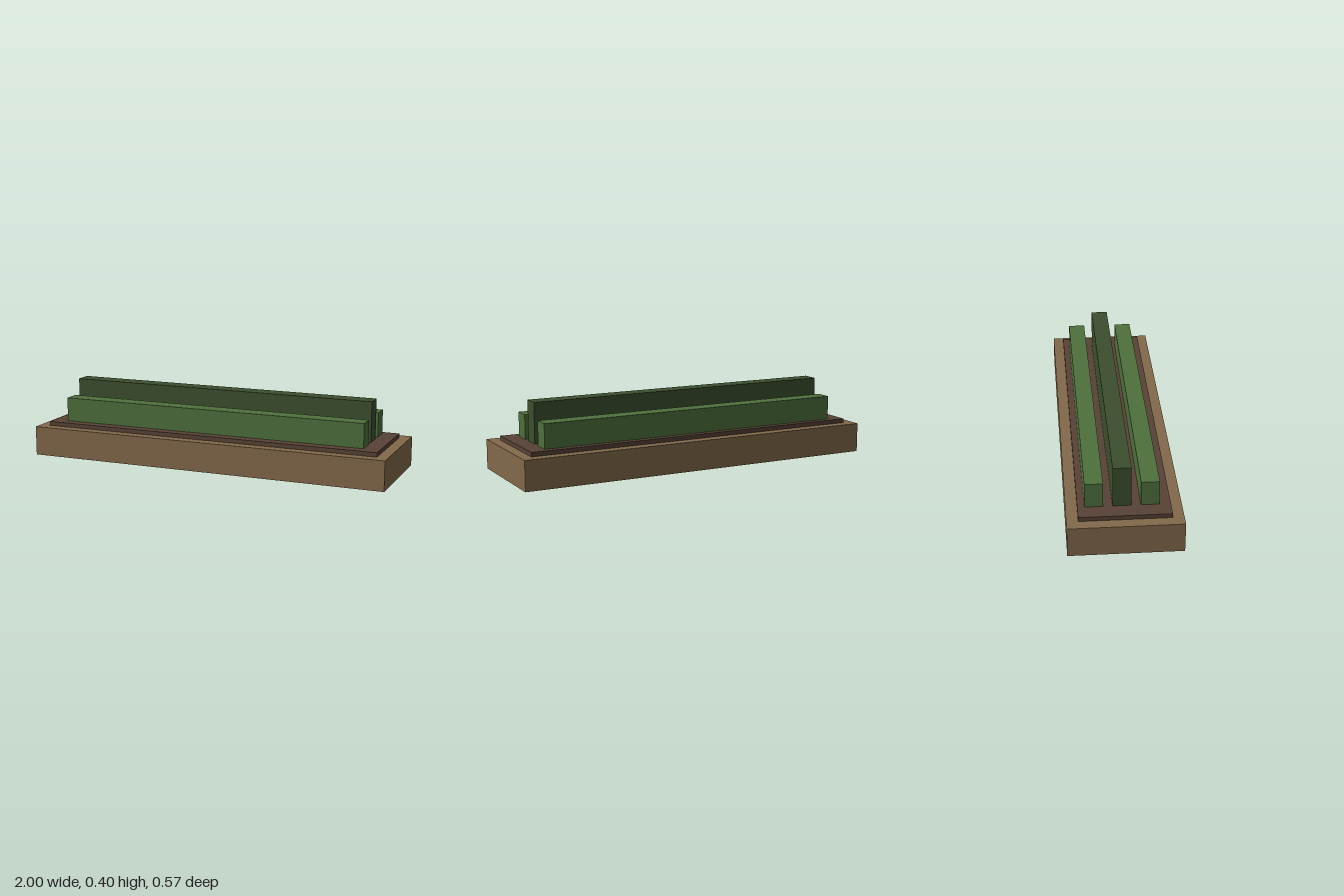
import * as THREE from 'three';

export function createModel() {
  const group = new THREE.Group();
  group.name = 'planter';

  const material = (name, color) => {
    const m = new THREE.MeshStandardMaterial({ color });
    m.name = name;
    return m;
  };
  const wood = material('wood', 0x82694a);
  const soil = material('soil', 0x574235);
  const leaf = material('light leaf', 0x4e703c);
  const darkLeaf = material('dark leaf', 0x3b4f2d);

  // Box spanning the given width and depth, from bottom to top
  const addBox = (name, mat, width, depth, bottom, top, z = 0) => {
    const mesh = new THREE.Mesh(new THREE.BoxGeometry(width, top - bottom, depth), mat);
    mesh.name = name;
    mesh.position.set(0, (bottom + top) / 2, z);
    group.add(mesh);
  };

  // Trough and the bed of soil on it
  addBox('trough', wood, 2, 0.572, 0, 0.16);
  addBox('soilBed', soil, 1.886, 0.458, 0.16, 0.183);

  // Three clipped hedge rows, the middle one taller
  const rows = [
    ['frontHedge', leaf, 0.314, 0.127],
    ['middleHedge', darkLeaf, 0.4, -0.011],
    ['backHedge', leaf, 0.314, -0.148],
  ];
  for (const [name, mat, top, z] of rows) addBox(name, mat, 1.716, 0.091, 0.183, top, z);

  return group;
}
